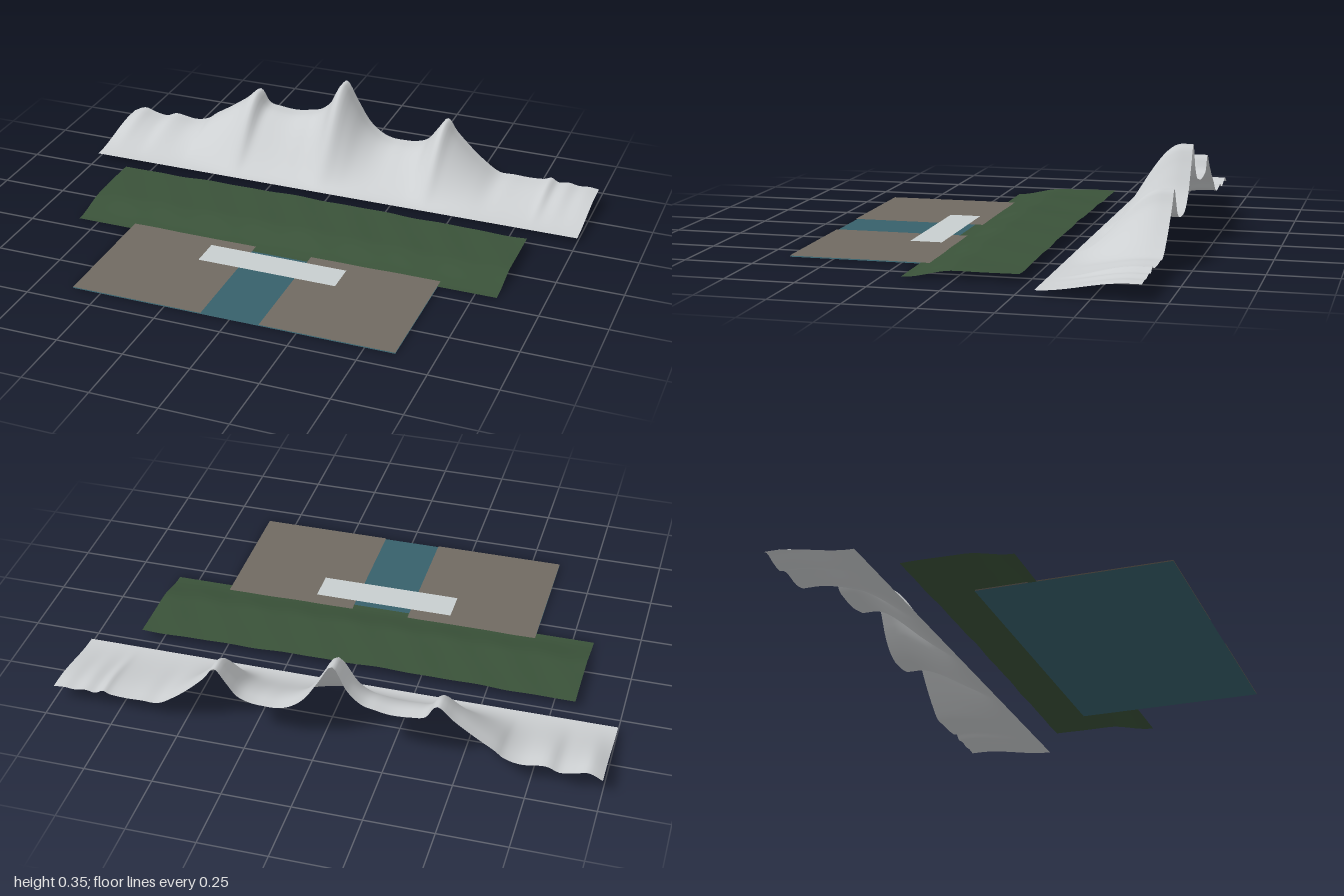
import * as THREE from 'three';

const material = (name, color) =>
  new THREE.MeshStandardMaterial({ name, color, side: THREE.DoubleSide });

// Smooth sheet from a rule (u, v) -> [x, y, z]; u runs left to right, v back to front
function sheet(name, mat, nu, nv, rule) {
  const geo = new THREE.PlaneGeometry(1, 1, nu, nv);
  const pos = geo.attributes.position;
  for (let j = 0, k = 0; j <= nv; j++)
    for (let i = 0; i <= nu; i++, k++) pos.setXYZ(k, ...rule(i / nu, j / nv));
  geo.computeVertexNormals();
  const mesh = new THREE.Mesh(geo, mat);
  mesh.name = name;
  return mesh;
}

// Flat rectangle at height y
const plate = (name, mat, x0, x1, z0, z1, y) =>
  sheet(name, mat, 1, 1, (u, v) => [x0 + (x1 - x0) * u, y, z0 + (z1 - z0) * v]);

export function createModel() {
  const group = new THREE.Group();
  group.name = 'mountainLandscape';
  const snow = material('snow grey', 0xcdd0d2);
  const forest = material('forest green', 0x3a5239);
  const earth = material('bank brown', 0x706a61);
  const water = material('river blue', 0x37606b);
  const deck = material('deck pale grey', 0xc8cecf);

  // Ridge skyline, x and height
  const ridge = new THREE.SplineCurve([
    [-1, 0.063], [-0.95, 0.086], [-0.9, 0.073], [-0.85, 0.066], [-0.8, 0.083],
    [-0.72, 0.072], [-0.66, 0.085], [-0.62, 0.115], [-0.55, 0.16], [-0.48, 0.21],
    [-0.42, 0.26], [-0.38, 0.207], [-0.33, 0.195], [-0.26, 0.19], [-0.2, 0.2],
    [-0.15, 0.215], [-0.1, 0.265], [-0.05, 0.355], [0, 0.28], [0.05, 0.2],
    [0.1, 0.155], [0.15, 0.135], [0.2, 0.133], [0.25, 0.137], [0.3, 0.157],
    [0.34, 0.21], [0.38, 0.26], [0.42, 0.21], [0.48, 0.15], [0.54, 0.1],
    [0.6, 0.063], [0.66, 0.062], [0.72, 0.06], [0.78, 0.064], [0.81, 0.075],
    [0.84, 0.06], [0.88, 0.066], [0.92, 0.059], [0.96, 0.062], [1, 0.058],
  ].map(([x, y]) => new THREE.Vector2(x, y)));

  // Mountains rise in an S-curve to a level crest strip
  group.add(sheet('mountainRange', snow, 156, 32, (u, v) => {
    const p = ridge.getPoint(u);
    const z = -0.665 + 0.35 * v;
    const rise = THREE.MathUtils.smoothstep(-z, 0.315, 0.625);
    return [p.x, 0.02 + (p.y - 0.02) * rise, z];
  }));

  // Gently rolling forest shelf that slopes down to the river
  group.add(sheet('forestShelf', forest, 72, 28, (u, v) => {
    const x = -0.83 + 1.66 * u;
    const z = -0.225 + 0.41 * v;
    const top = 0.034 + 0.004 * Math.cos(3.4 * x + 0.3)
      + 0.0015 * Math.sin(19 * x + 12 * z) + 0.001 * Math.sin(33 * x - 21 * z);
    const rise = 1 - THREE.MathUtils.smoothstep(z, 0, 0.185);
    return [x, 0.001 + (top - 0.001) * rise, z];
  }));

  // River bed with a bank on each side, and the deck across it
  group.add(plate('river', water, -0.61, 0.61, -0.04, 0.665, 0));
  group.add(plate('rightBank', earth, -0.61, -0.11, -0.04, 0.665, 0.004));
  group.add(plate('leftBank', earth, 0.11, 0.61, -0.04, 0.665, 0.004));
  group.add(plate('deck', deck, -0.268, 0.268, 0.205, 0.325, 0.007));
  return group;
}
